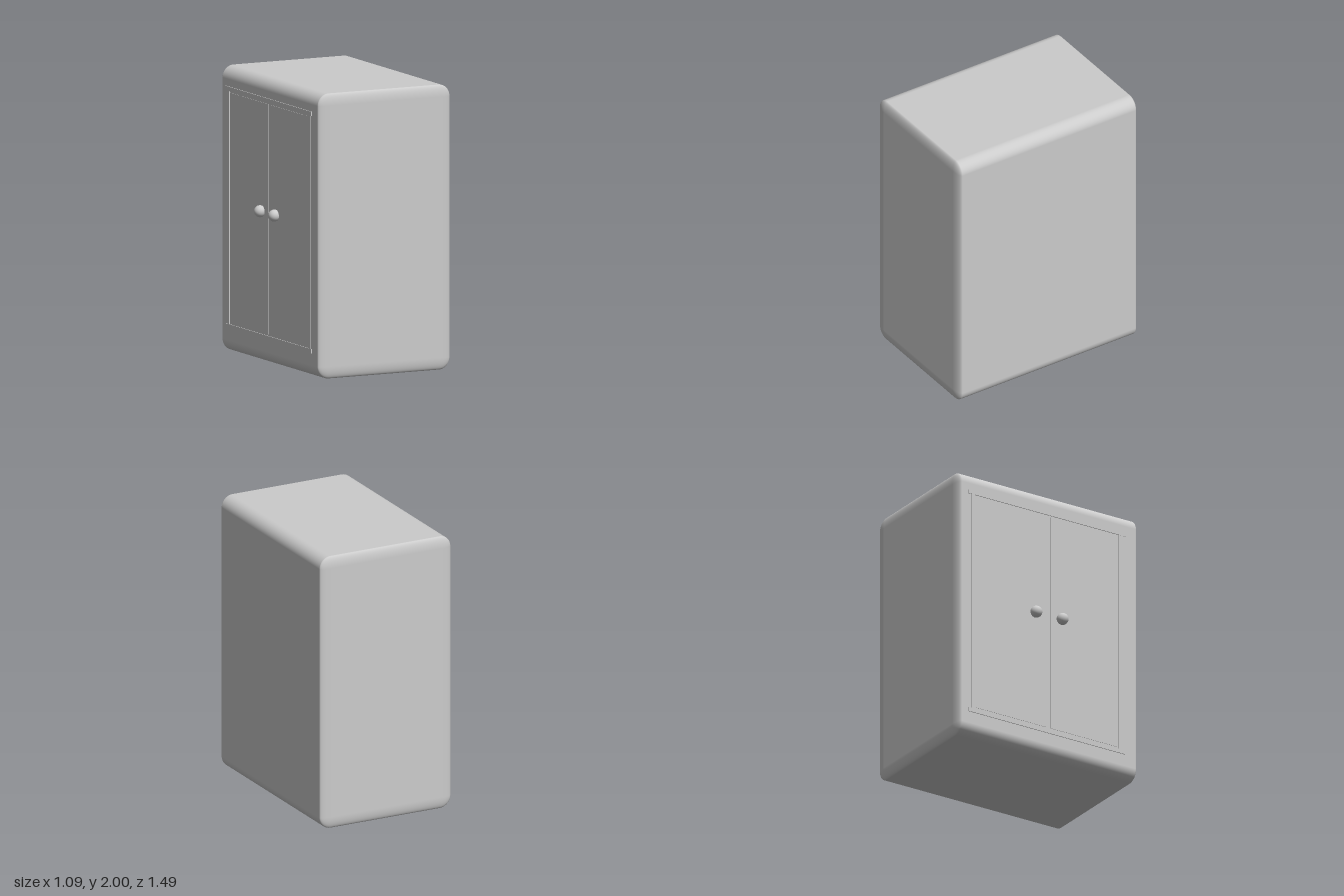
import * as THREE from 'three';
import { RoundedBoxGeometry } from 'three/addons/geometries/RoundedBoxGeometry.js';

const FACE_X = -0.483; // plane of the door side

export function createModel() {
  const group = new THREE.Group();
  const material = new THREE.MeshStandardMaterial({ color: 0xcccccc });

  const add = (name, geometry, x, y, z) => {
    const mesh = new THREE.Mesh(geometry, material);
    mesh.name = name;
    mesh.position.set(x, y, z);
    group.add(mesh);
    return mesh;
  };

  // thin panel lying on the door side, given by its extents and how far it stands out
  const panel = (name, z0, z1, y0, y1, out) => {
    const depth = 0.02;
    add(name, new THREE.BoxGeometry(depth, y1 - y0, z1 - z0),
      FACE_X - out + depth / 2, (y0 + y1) / 2, (z0 + z1) / 2);
  };

  // cabinet body: rounding is squashed along z
  const squash = 0.32;
  const body = new RoundedBoxGeometry(1.027, 2, 1.49 / squash, 8, 0.085);
  body.scale(1, 1, squash);
  add('cabinetBody', body, 0.0305, 1, 0);

  // frame around the doors, rails overhanging the stiles
  panel('topRail', -0.665, 0.635, 1.835, 1.865, 0.006);
  panel('bottomRail', -0.665, 0.635, 0.17, 0.2, 0.006);
  panel('backStile', -0.645, -0.61, 0.2, 1.835, 0.005);
  panel('frontStile', 0.58, 0.615, 0.2, 1.835, 0.005);

  // pair of doors with a narrow gap between them
  panel('backDoor', -0.6, -0.018, 0.212, 1.825, 0.003);
  panel('frontDoor', 0.012, 0.57, 0.212, 1.825, 0.003);

  // round knobs beside the gap
  const knob = new THREE.SphereGeometry(0.042, 32, 20);
  add('backKnob', knob, -0.503, 1.063, -0.116);
  add('frontKnob', knob, -0.503, 1.063, 0.101);

  return group;
}
